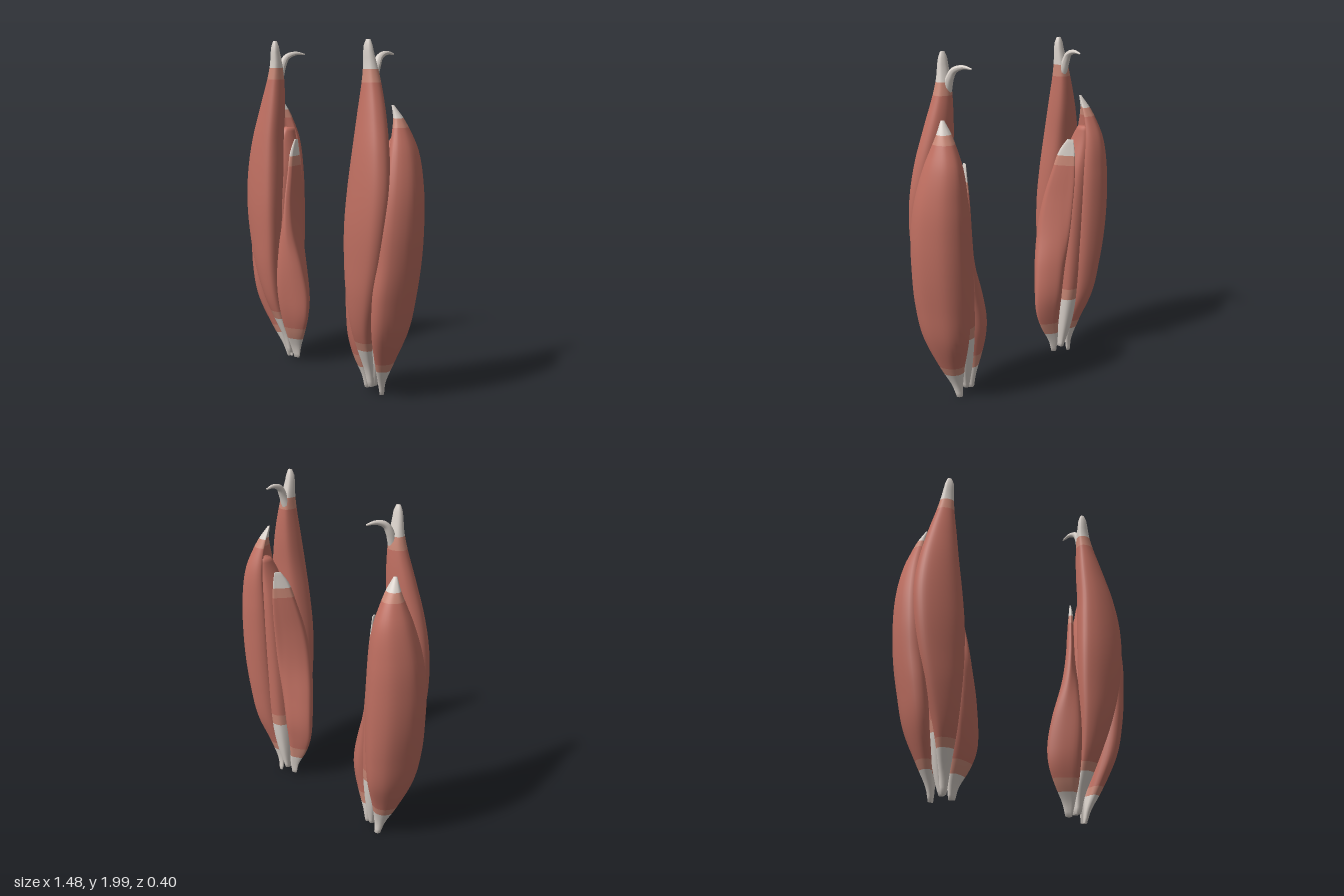
import * as THREE from 'three';

const SIDES = 44;

const mat = (name, color) => {
  const m = new THREE.MeshStandardMaterial({ color });
  m.name = name;
  return m;
};

// Smooth closed outline, fitted to the unit square; runs inner -> front -> outer -> back
function outline(points) {
  const curve = new THREE.CatmullRomCurve3(points.map(([u, v]) => new THREE.Vector3(u, 0, v)), true);
  const pts = curve.getPoints(SIDES).slice(0, SIDES);
  const box = new THREE.Box3().setFromPoints(pts);
  const size = box.getSize(new THREE.Vector3());
  return pts.map(p => [(p.x - box.min.x) / size.x, (p.z - box.min.z) / size.z]);
}

// Loft an outline through rows of [y, xInner, xOuter, zBack, zFront], blending to topShape higher up.
// bands = [tendon end, blend end, blend start, tendon start] from bottom to top.
function loftMuscle({ shape, topShape = shape, rows, bands }, side) {
  const low = outline(shape), high = outline(topShape);
  const spline = new THREE.CubicInterpolant(rows.map(r => r[0]), rows.flatMap(r => r.slice(1)), 4);
  const y0 = rows[0][0], y1 = rows[rows.length - 1][0];
  const levels = [...bands.filter(y => y > y0 && y < y1)];
  for (let i = 0; i <= 60; i++) levels.push(y0 + (y1 - y0) * i / 60);
  levels.sort((a, b) => a - b);

  const pos = [], index = [], geo = new THREE.BufferGeometry();
  for (const y of levels) {
    const [xa, xb, za, zb] = spline.evaluate(y);
    const t = THREE.MathUtils.smoothstep(y, 0.4, 1.1);
    low.forEach(([u, v], j) => pos.push(
      side * THREE.MathUtils.lerp(xa, xb, THREE.MathUtils.lerp(u, high[j][0], t)), y,
      THREE.MathUtils.lerp(za, zb, THREE.MathUtils.lerp(v, high[j][1], t))));
  }
  const tri = (a, b, c) => (side > 0 ? index.push(a, b, c) : index.push(a, c, b));
  const colourAt = y =>
    y < bands[0] || y > bands[3] ? 1 : y < bands[1] || y > bands[2] ? 2 : 0;
  const addGroup = (start, m) => geo.addGroup(start, index.length - start, m);

  for (let i = 0; i < levels.length - 1; i++) {
    const start = index.length;
    for (let j = 0; j < SIDES; j++) {
      const k = (j + 1) % SIDES, a = i * SIDES, b = a + SIDES;
      tri(a + j, a + k, b + j);
      tri(a + k, b + k, b + j);
    }
    addGroup(start, colourAt((levels[i] + levels[i + 1]) / 2));
  }
  // End caps
  for (const [row, flip] of [[0, true], [levels.length - 1, false]]) {
    const start = index.length, base = row * SIDES, c = pos.length / 3;
    const [xa, xb, za, zb] = spline.evaluate(levels[row]);
    pos.push(side * (xa + xb) / 2, levels[row], (za + zb) / 2);
    for (let j = 0; j < SIDES; j++) {
      const k = (j + 1) % SIDES;
      flip ? tri(c, base + k, base + j) : tri(c, base + j, base + k);
    }
    addGroup(start, colourAt(levels[row]));
  }
  geo.setAttribute('position', new THREE.Float32BufferAttribute(pos, 3));
  geo.setIndex(index);
  geo.computeVertexNormals();
  return geo;
}

// Tapered, curved tendon hook behind the top of the front muscle
function hookGeometry(side) {
  const path = new THREE.CatmullRomCurve3([
    [0.465, 1.78, 0.04], [0.467, 1.86, 0.012], [0.46, 1.905, -0.015],
    [0.447, 1.926, -0.07], [0.435, 1.92, -0.13],
  ].map(([x, y, z]) => new THREE.Vector3(side * x, y, z)));
  const steps = 24, around = 12;
  const geo = new THREE.TubeGeometry(path, steps, 0.028, around);
  const p = geo.attributes.position, v = new THREE.Vector3();
  for (let i = 0; i <= steps; i++) {
    const centre = path.getPointAt(i / steps);
    const k = 1 - 0.85 * Math.pow(i / steps, 1.5);
    for (let j = 0; j <= around; j++) {
      const n = i * (around + 1) + j;
      v.fromBufferAttribute(p, n).sub(centre).multiplyScalar(k).add(centre);
      p.setXYZ(n, v.x, v.y, v.z);
    }
  }
  geo.computeVertexNormals();
  return geo;
}

const MUSCLES = {
  frontMuscle: {
    shape: [[0, 0.5], [0.05, 0.85], [0.3, 1], [0.62, 0.98], [0.9, 0.82], [1, 0.5], [0.9, 0.2], [0.5, 0], [0.12, 0.1]],
    bands: [0.28, 0.33, 1.77, 1.84],
    rows: [
      [0.05, 0.4, 0.435, -0.02, 0.015], [0.15, 0.395, 0.45, -0.01, 0.04],
      [0.27, 0.393, 0.485, 0.02, 0.09], [0.4, 0.39, 0.525, 0.04, 0.14],
      [0.6, 0.383, 0.59, 0.05, 0.18], [0.8, 0.377, 0.64, 0.05, 0.195],
      [1.0, 0.38, 0.67, 0.04, 0.2], [1.2, 0.393, 0.675, 0.02, 0.19],
      [1.4, 0.41, 0.645, 0.01, 0.168], [1.6, 0.42, 0.59, 0, 0.135],
      [1.8, 0.432, 0.527, 0.01, 0.1], [1.87, 0.434, 0.51, 0.025, 0.092],
      [1.94, 0.438, 0.497, 0.042, 0.091], [1.98, 0.443, 0.488, 0.05, 0.086],
      [2.0, 0.453, 0.479, 0.058, 0.079],
    ],
  },
  // Crescent section that wraps round the outside and back
  outerMuscle: {
    shape: [[0, 0.22], [0.13, 0.34], [0.3, 0.45], [0.38, 0.62], [0.44, 0.86], [0.62, 1],
      [0.86, 0.93], [1, 0.62], [0.95, 0.38], [0.78, 0.13], [0.48, 0], [0.24, 0.03], [0.07, 0.11]],
    bands: [0.165, 0.215, 1.53, 1.58],
    rows: [
      [0.01, 0.455, 0.49, -0.05, -0.02], [0.08, 0.45, 0.51, -0.05, 0],
      [0.2, 0.447, 0.572, -0.08, 0.05], [0.4, 0.455, 0.655, -0.15, 0.12],
      [0.6, 0.46, 0.698, -0.18, 0.14], [0.8, 0.468, 0.727, -0.195, 0.13],
      [1.0, 0.475, 0.738, -0.2, 0.12], [1.2, 0.487, 0.727, -0.195, 0.09],
      [1.4, 0.51, 0.683, -0.17, 0.04], [1.5, 0.525, 0.645, -0.13, 0.008],
      [1.58, 0.535, 0.61, -0.085, -0.015], [1.65, 0.55, 0.568, -0.035, -0.018],
    ],
  },
  // Teardrop that swells towards the knee and thins to a slanted sheet at the top
  innerMuscle: {
    shape: [[0, 0.45], [0.12, 0.64], [0.4, 0.85], [0.75, 1], [0.96, 0.88], [1, 0.6], [0.95, 0.3],
      [0.78, 0.08], [0.58, 0], [0.35, 0.1], [0.1, 0.29]],
    topShape: [[0, 0.85], [0.1, 1], [0.3, 0.95], [0.55, 0.8], [0.85, 0.5], [1, 0.2], [0.97, 0.03],
      [0.85, 0], [0.6, 0.2], [0.35, 0.42], [0.1, 0.68]],
    bands: [0.16, 0.235, 1.24, 1.3],
    rows: [
      [0.03, 0.34, 0.38, -0.03, 0], [0.1, 0.322, 0.39, -0.04, 0.02],
      [0.2, 0.268, 0.4, -0.05, 0.06], [0.3, 0.23, 0.41, -0.065, 0.09],
      [0.4, 0.22, 0.415, -0.08, 0.11], [0.6, 0.245, 0.425, -0.09, 0.13],
      [0.8, 0.295, 0.43, -0.1, 0.125], [1.0, 0.335, 0.437, -0.1, 0.085],
      [1.2, 0.372, 0.447, -0.1, 0.035], [1.33, 0.4, 0.45, -0.09, -0.002],
      [1.4, 0.425, 0.445, -0.08, -0.045],
    ],
  },
  deepMuscle: {
    shape: [[0, 0.5], [0.12, 0.88], [0.5, 1], [0.88, 0.88], [1, 0.5], [0.88, 0.12], [0.5, 0], [0.12, 0.12]],
    bands: [0.38, 0.45, 2, 2],
    rows: [
      [0.05, 0.4, 0.43, -0.045, -0.01], [0.2, 0.388, 0.475, -0.08, 0.02],
      [0.4, 0.385, 0.515, -0.11, 0.05], [0.8, 0.4, 0.56, -0.13, 0.08],
      [1.2, 0.44, 0.58, -0.135, 0.05], [1.4, 0.495, 0.59, -0.125, 0],
      [1.47, 0.51, 0.58, -0.115, -0.04],
    ],
  },
};

export function createModel() {
  const muscle = mat('muscle red', 0xbf6f61);
  const tendon = mat('tendon ivory', 0xd8d0c9);
  const blend = mat('muscle to tendon blend', 0xc98876);
  const model = new THREE.Group();
  model.name = 'thighMuscles';

  for (const [side, label] of [[1, 'left'], [-1, 'right']]) {
    const thigh = new THREE.Group();
    thigh.name = label + 'Thigh';
    for (const [name, spec] of Object.entries(MUSCLES)) {
      const mesh = new THREE.Mesh(loftMuscle(spec, side), [muscle, tendon, blend]);
      mesh.name = name;
      thigh.add(mesh);
    }
    const hook = new THREE.Mesh(hookGeometry(side), tendon);
    hook.name = 'tendonHook';
    thigh.add(hook);
    model.add(thigh);
  }
  return model;
}
